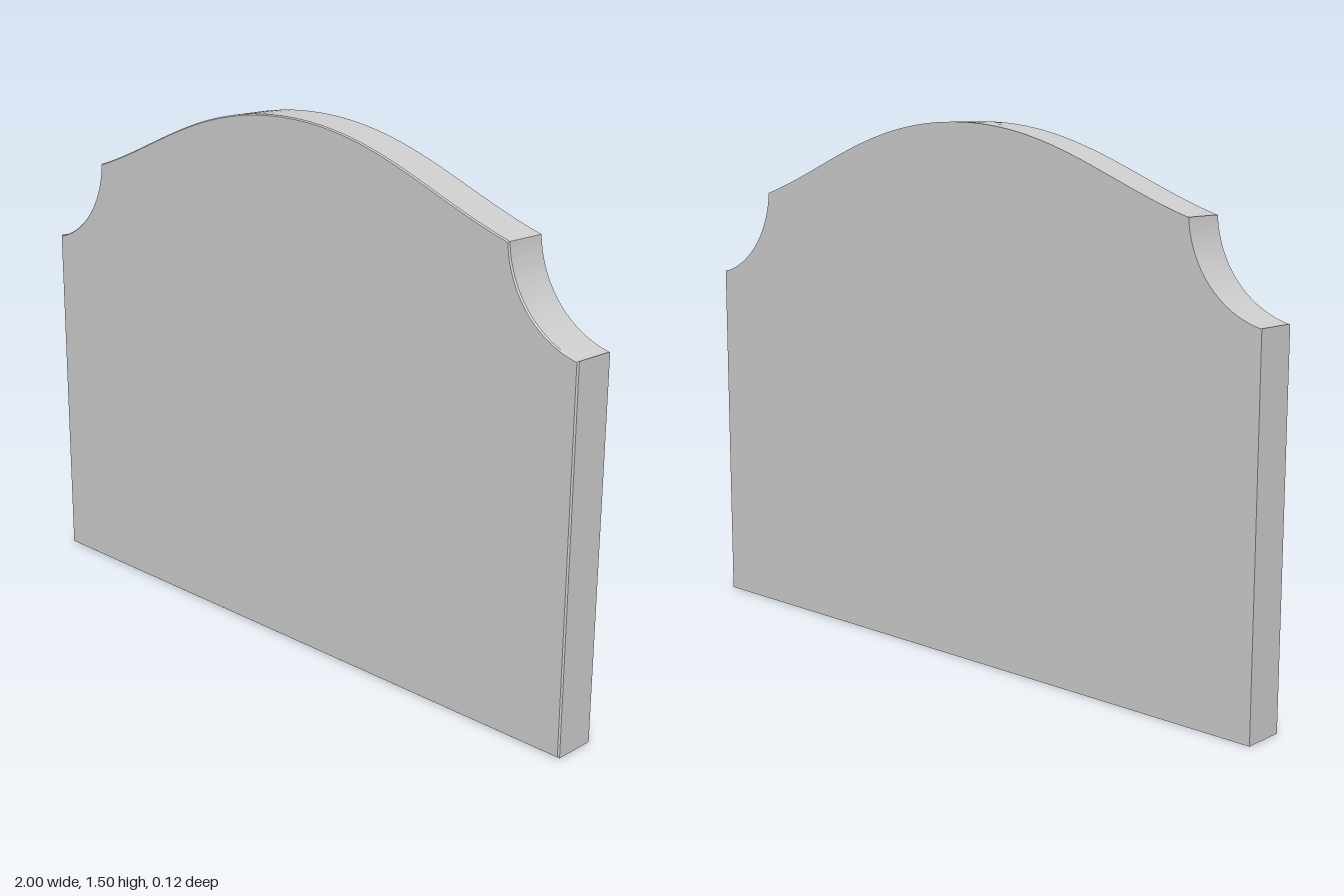
import * as THREE from 'three';
import { toCreasedNormals } from 'three/addons/utils/BufferGeometryUtils.js';

const DEPTH = 0.124;
const EASE = 0.004; // slightly eased front edge

// Outline: straight sides, scooped shoulders and a serpentine crown
function outline() {
  const shape = new THREE.Shape();
  const a = Math.atan2(1.03 - 1.3, 1 - 1.06);
  const b = Math.atan2(1.28 - 1.3, 0.78 - 1.06);
  shape.moveTo(-1, 0);
  shape.lineTo(1, 0);
  shape.lineTo(1, 1.03);
  shape.absarc(1.06, 1.3, 0.278, a, b, true);
  shape.bezierCurveTo(0.52, 1.36, 0.33, 1.5, 0, 1.5);
  shape.bezierCurveTo(-0.33, 1.5, -0.52, 1.36, -0.78, 1.28);
  shape.absarc(-1.06, 1.3, 0.278, Math.PI - b, Math.PI - a, true);
  shape.lineTo(-1, 1.03);
  shape.closePath();
  return shape;
}

export function createModel() {
  const group = new THREE.Group();
  group.name = 'headstone';

  const slab = new THREE.ExtrudeGeometry(outline(), {
    depth: DEPTH, steps: 2, bevelEnabled: false, curveSegments: 24,
  });
  slab.translate(0, 0, -DEPTH / 2);

  // Ease the front edge: shift the middle ring forward, shrink the front ring
  const p = slab.attributes.position;
  for (let i = 0; i < p.count; i++) {
    const z = p.getZ(i);
    if (Math.abs(z) < 1e-4) {
      p.setZ(i, DEPTH / 2 - EASE);
    } else if (z > 0) {
      p.setX(i, p.getX(i) * (1 - EASE));
      p.setY(i, 0.7 + (p.getY(i) - 0.7) * (1 - EASE));
    }
  }

  const mesh = new THREE.Mesh(
    toCreasedNormals(slab, 0.5),
    new THREE.MeshStandardMaterial({ color: 0xcccccc }),
  );
  mesh.name = 'slab';
  group.add(mesh);
  return group;
}
